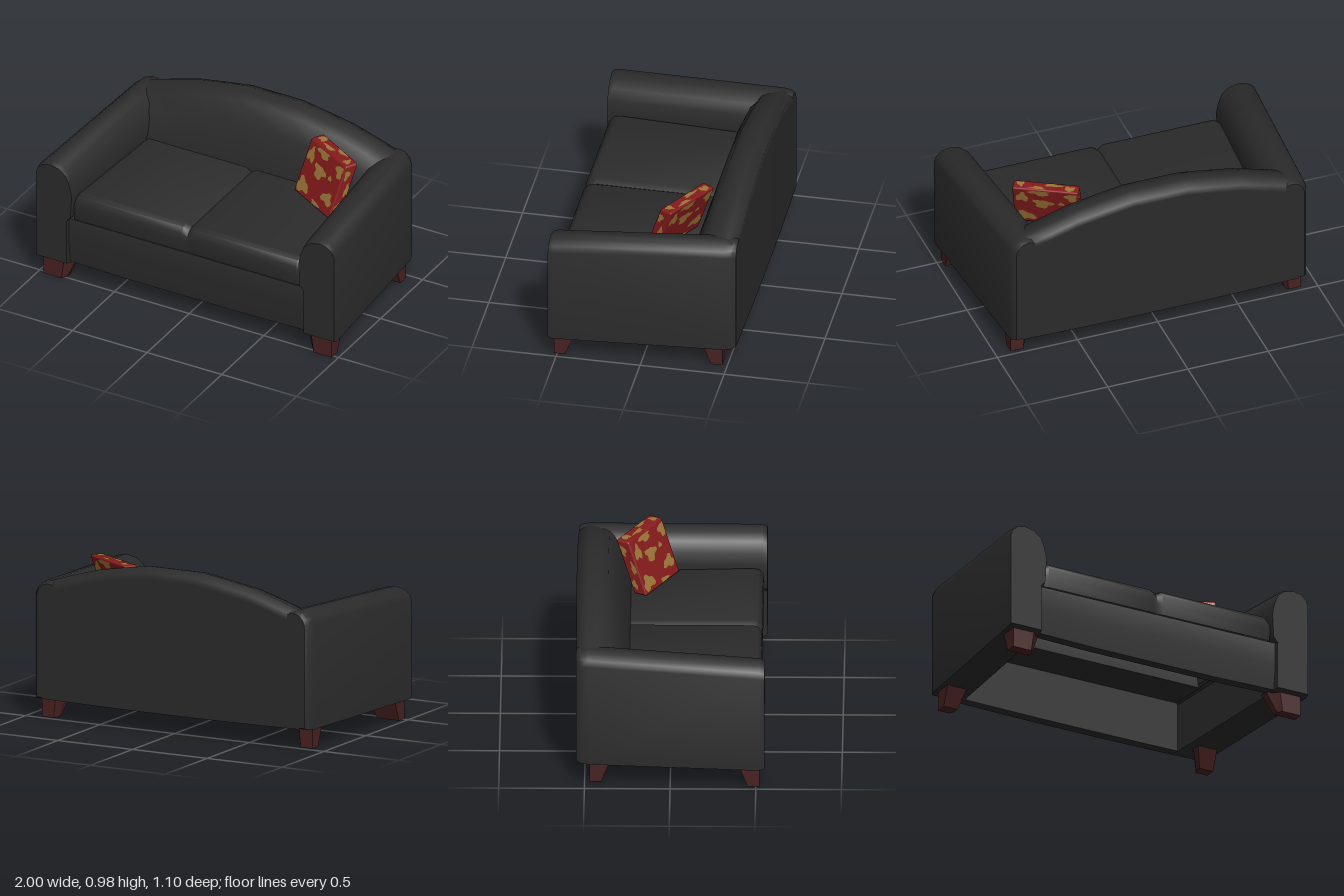
import * as THREE from 'three';
import { toCreasedNormals } from 'three/addons/utils/BufferGeometryUtils.js';
import { RoundedBoxGeometry } from 'three/addons/geometries/RoundedBoxGeometry.js';

const mat = (name, color) => {
  const m = new THREE.MeshStandardMaterial({ color });
  m.name = name;
  return m;
};

// Plane of a ring that is flattest along x, y or z, seen from the outside of the first ring
const planes = [p => new THREE.Vector2(-p[2], p[1]), p => new THREE.Vector2(p[0], -p[2]), p => new THREE.Vector2(p[0], p[1])];

// Skin rings of [x, y, z] points and cap both ends.
// Rings run counter-clockwise seen from the first ring's outer side;
// an open skin leaves out the strip between each ring's last and first point.
function loft(axis, rings, open = false) {
  const n = rings[0].length, idx = [];
  for (let i = 0; i < rings.length - 1; i++) {
    for (let j = 0; j < (open ? n - 1 : n); j++) {
      const k = (j + 1) % n, a = i * n + j, b = i * n + k;
      idx.push(a, a + n, b, b, a + n, b + n);
    }
  }
  const last = (rings.length - 1) * n;
  for (const [a, b, c] of THREE.ShapeUtils.triangulateShape(rings[0].map(planes[axis]), [])) {
    idx.push(a, b, c, last + a, last + c, last + b);
  }
  const g = new THREE.BufferGeometry();
  g.setAttribute('position', new THREE.Float32BufferAttribute(rings.flat(2), 3));
  g.setIndex(idx);
  return g;
}

function mirrorX(g) {
  const m = g.clone().scale(-1, 1, 1);
  m.index.array.reverse();
  return m;
}

// Repeat [x, value] stations on the other side, running from +x to -x
const bothSides = list => [...list, ...list.filter(s => s[0] > 0).map(([x, v]) => [-x, v]).reverse()];

export function createModel() {
  const root = new THREE.Group();
  root.name = 'sofa';
  const fabric = mat('charcoal fabric', 0x2b2b2b);
  fabric.side = THREE.DoubleSide; // the seat is an open shell underneath
  const wood = mat('dark red wood', 0x482121);
  const red = mat('pillow red', 0x861b1c);
  const gold = mat('pillow gold', 0x9f7738);

  const add = (name, g, m, crease = 0.65) => {
    const mesh = new THREE.Mesh(toCreasedNormals(g, crease), m);
    mesh.name = name;
    root.add(mesh);
  };
  const addPair = (name, g, m, crease) => {
    add('left ' + name, g, m, crease);
    add('right ' + name, mirrorX(g), m, crease);
  };

  // Arms: rounded profile that drifts inward and rises towards the back
  const armProfile = [[0.79, 0.12], [1, 0.12], [1, 0.71], [0.985, 0.745], [0.95, 0.775], [0.9, 0.785],
    [0.84, 0.772], [0.795, 0.735], [0.77, 0.67], [0.757, 0.6], [0.765, 0.45], [0.79, 0.42]];
  const armRing = ([z, sx, sy]) => {
    const t = 0.52 - z;
    return armProfile.map(([x, y]) => [
      0.88 + (x - 0.88) * (x > 0.9 ? sx : 1) - 0.073 * t,
      0.45 + (y - 0.45) * sy + (y > 0.58 ? 0.04 * t : 0),
      z]);
  };
  const armSections = [[0.55, 0.97, 0.965], [0.52, 1, 1], [-0.48, 1, 1], [-0.525, 0.93, 0.99], [-0.549, 0.8, 0.96]];
  addPair('arm', loft(2, armSections.map(armRing)), fabric);

  // Arched backrest
  const arch = [[0.86, 0.815], [0.69, 0.87], [0.51, 0.923], [0.34, 0.953], [0.17, 0.98]];
  const backRing = ([x, h]) => {
    const bow = 0.006 * (1 - x * x / 0.74), low = 0.125 - bow, rear = -0.548 - bow;
    return [[-0.49, low], [rear, low], [rear, h - 0.07], [rear, h - 0.03], [-0.49, h], [-0.43, h - 0.014],
      [-0.37, h - 0.034], [-0.31, 0.6 + (h - 0.6) * 0.58], [-0.24, 0.59], [-0.24, 0.43], [-0.49, 0.43]]
      .map(([z, y]) => [x, y, z]);
  };
  add('backrest', loft(0, bothSides(arch).map(backRing)), fabric, 1.25);

  // Seat: two cushions joined at a shallow valley, following the arms as they close in
  const cushionProfile = [[-0.3, 0.43], [-0.3, 0.595], [0.47, 0.595], [0.505, 0.584], [0.527, 0.555], [0.532, 0.5], [0.524, 0.43]];
  const cushionRing = ([x, inset]) => cushionProfile.map(([z, y]) => [
    x * (1 - 0.075 * (0.52 - z)), y > 0.5 ? y - inset : y, z > 0 ? z - inset * 0.4 : z]);
  add('seat cushions', loft(0, bothSides([[0.757, 0.018], [0.73, 0], [0.035, 0], [0, 0.02]]).map(cushionRing), true), fabric);

  // Front panel, gently bowed below the cushions
  const panelProfile = [[0.512, 0.12], [0.45, 0.12], [0.45, 0.425], [0.522, 0.425], [0.528, 0.4], [0.527, 0.28]];
  add('front panel', loft(0, [0.79, 0.4, -0.4, -0.79].map(x =>
    panelProfile.map(([z, y]) => [x, y + (y < 0.2 && Math.abs(x) > 0.5 ? 0.008 : 0), z]))), fabric);

  // Tapered legs: upright outer faces, chamfered inner corner
  const legTop = [[0, 0], [0, 0.12], [0.2, 0.12], [0.2, 0.06], [0.14, 0]];
  const legFoot = [[0, 0], [0, 0.068], [0.142, 0.068], [0.142, 0.03], [0.12, 0]];
  const leg = (x, z, dir, width) => {
    const ring = (pts, y) => {
      const r = pts.map(([u, w]) => [x - u * width, y, z - dir * w]);
      return dir > 0 ? r : r.reverse();
    };
    return loft(1, [ring(legTop, 0.135), ring(legFoot, 0)]);
  };
  addPair('front leg', leg(0.965, 0.52, 1, 1), wood, 0.2);
  addPair('back leg', leg(0.905, -0.47, -1, 0.65), wood, 0.2);

  // Throw pillow slanting back, with gold blotches on every face
  const W = 0.39, H = 0.32, D = 0.085;
  const slant = new THREE.Matrix4().makeShear(0, 0, 0, -0.38, 0, 0);
  slant.set(1, 0, 0, 0, 0, 1, 0, 0, 0, -0.38, 1, 0, 0, 0, 0, 1);
  const pillow = new THREE.Group();
  pillow.name = 'throw pillow';
  const body = new THREE.Mesh(new RoundedBoxGeometry(W, H, D, 2, 0.012).applyMatrix4(slant), red);
  body.name = 'pillow body';
  pillow.add(body);

  function blotches(name, w, h, depth, rx, ry, list) {
    const face = new THREE.Group();
    face.name = name;
    const clamp = (v, size) => THREE.MathUtils.clamp(v, 0.01 - size / 2, size / 2 - 0.01);
    list.forEach(([cx, cy, a, b], i) => {
      const pts = [];
      for (let k = 0; k < 18; k++) {
        const t = k / 18 * Math.PI * 2, s = i * 1.7 + w * 9;
        const r = 1 + 0.25 * Math.sin(3 * t + s) + 0.15 * Math.sin(5 * t + 2 * s);
        pts.push(new THREE.Vector2(clamp(cx + a * r * Math.cos(t), w), clamp(cy + b * r * Math.sin(t), h)));
      }
      const g = new THREE.ShapeGeometry(new THREE.Shape(pts));
      g.translate(0, 0, depth / 2 + 0.002).rotateX(rx).rotateY(ry).applyMatrix4(slant);
      const m = new THREE.Mesh(g, gold);
      m.name = 'gold blotch';
      face.add(m);
    });
    pillow.add(face);
  }
  const big = [[-0.14, 0.08, 0.035, 0.04], [-0.03, 0.135, 0.06, 0.026], [-0.02, 0.03, 0.055, 0.038], [-0.13, -0.1, 0.058, 0.04],
    [0.12, -0.07, 0.055, 0.032], [0.155, 0.11, 0.037, 0.037], [0.03, -0.14, 0.04, 0.014], [0.09, 0.04, 0.018, 0.014]];
  const edge = [[-0.14, 0.01, 0.028, 0.03], [-0.04, -0.015, 0.05, 0.014], [0.05, 0.02, 0.045, 0.013], [0.15, -0.01, 0.022, 0.025]];
  const side = [[-0.015, 0.1, 0.018, 0.03], [0.018, 0, 0.018, 0.035], [-0.015, -0.1, 0.02, 0.025]];
  blotches('front pattern', W, H, D, 0, 0, big);
  blotches('rear pattern', W, H, D, 0, Math.PI, big);
  blotches('top pattern', W, D, H, -Math.PI / 2, 0, edge);
  blotches('bottom pattern', W, D, H, Math.PI / 2, 0, edge);
  blotches('left pattern', D, H, W, 0, Math.PI / 2, side);
  blotches('right pattern', D, H, W, 0, -Math.PI / 2, side);
  pillow.rotation.y = -0.51;
  pillow.position.set(0.553, 0.76, -0.145);
  root.add(pillow);

  return root;
}
